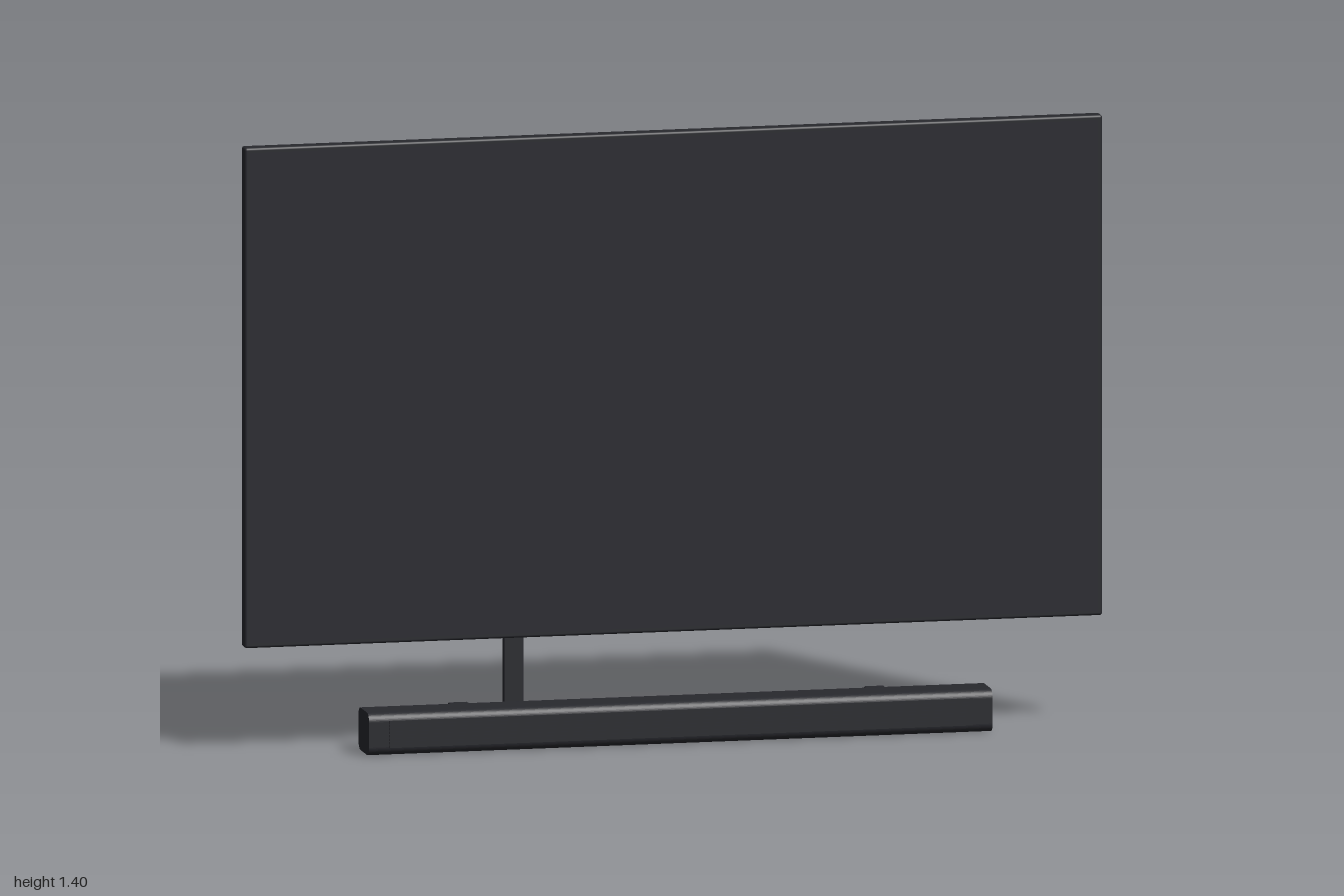
import * as THREE from 'three';
import { RoundedBoxGeometry } from 'three/addons/geometries/RoundedBoxGeometry.js';

const mat = (name, color) => {
  const m = new THREE.MeshStandardMaterial({ color });
  m.name = name;
  return m;
};

export function createModel() {
  const group = new THREE.Group();
  const casing = mat('casing black', 0x28292e);
  const screenBlack = mat('screen black', 0x28282f);

  const add = (name, geometry, material = casing) => {
    const mesh = new THREE.Mesh(geometry, material);
    mesh.name = name;
    group.add(mesh);
    return mesh;
  };

  // Box given by its extents; a radius rounds its edges
  const block = (name, [x0, x1], [y0, y1], [z0, z1], r = 0, material = casing) => {
    const size = [x1 - x0, y1 - y0, z1 - z0];
    const geo = r ? new RoundedBoxGeometry(...size, 3, r) : new THREE.BoxGeometry(...size);
    add(name, geo, material).position.set((x0 + x1) / 2, (y0 + y1) / 2, (z0 + z1) / 2);
  };

  // Display panel and its screen face
  block('panel', [-1, 1], [0.247, 1.403], [-0.033, 0.003], 0.006);
  block('screen', [-0.988, 0.988], [0.259, 1.391], [0, 0.004], 0, screenBlack);

  // Rear housing with wall mount
  block('rearHousing', [-0.64, 0.64], [0.43, 1.153], [-0.067, -0.032], 0.012);
  for (const x of [-0.16, 0.16]) {
    block('mountRail', [x - 0.018, x + 0.018], [0.507, 1.08], [-0.071, -0.064]);
  }
  block('mountPlate', [-0.24, 0.24], [0.633, 0.952], [-0.08, -0.069]);

  // Soundbar: rounded profile swept along x with flat ends
  const halfLength = 0.727, z0 = -0.033, z1 = 0.077, y1 = 0.098, r = 0.02;
  const profile = new THREE.Shape();
  profile.absarc(z1 - r, y1 - r, r, 0, Math.PI / 2);
  profile.absarc(z0 + r, y1 - r, r, Math.PI / 2, Math.PI);
  profile.absarc(z0 + r, r, r, Math.PI, Math.PI * 1.5);
  profile.absarc(z1 - r, r, r, Math.PI * 1.5, Math.PI * 2);
  const bar = new THREE.ExtrudeGeometry(profile, {
    depth: halfLength * 2, bevelEnabled: false, curveSegments: 6,
  });
  bar.rotateY(-Math.PI / 2).scale(1, 1, 1);
  // The sweep now runs to -x with the profile along +z
  bar.computeBoundingBox();
  bar.translate(-(bar.boundingBox.min.x + bar.boundingBox.max.x) / 2, 0, 0);
  add('soundbar', bar);

  // Grille of fine horizontal slats
  const slats = 8;
  for (let i = 0; i < slats; i++) {
    const y = 0.021 + i * 0.008;
    block('grilleSlat', [-0.68, 0.68], [y - 0.003, y + 0.003], [0.07, 0.08]);
  }

  // Wall brackets of the soundbar
  for (const x of [-0.485, 0.485]) {
    block('soundbarBracket', [x - 0.023, x + 0.023], [0.013, 0.09], [-0.08, -0.03], 0.003);
  }

  // Cable cover on the wall
  block('cableCover', [-0.381, -0.335], [0.08, 0.275], [-0.08, -0.063], 0.003);

  return group;
}
